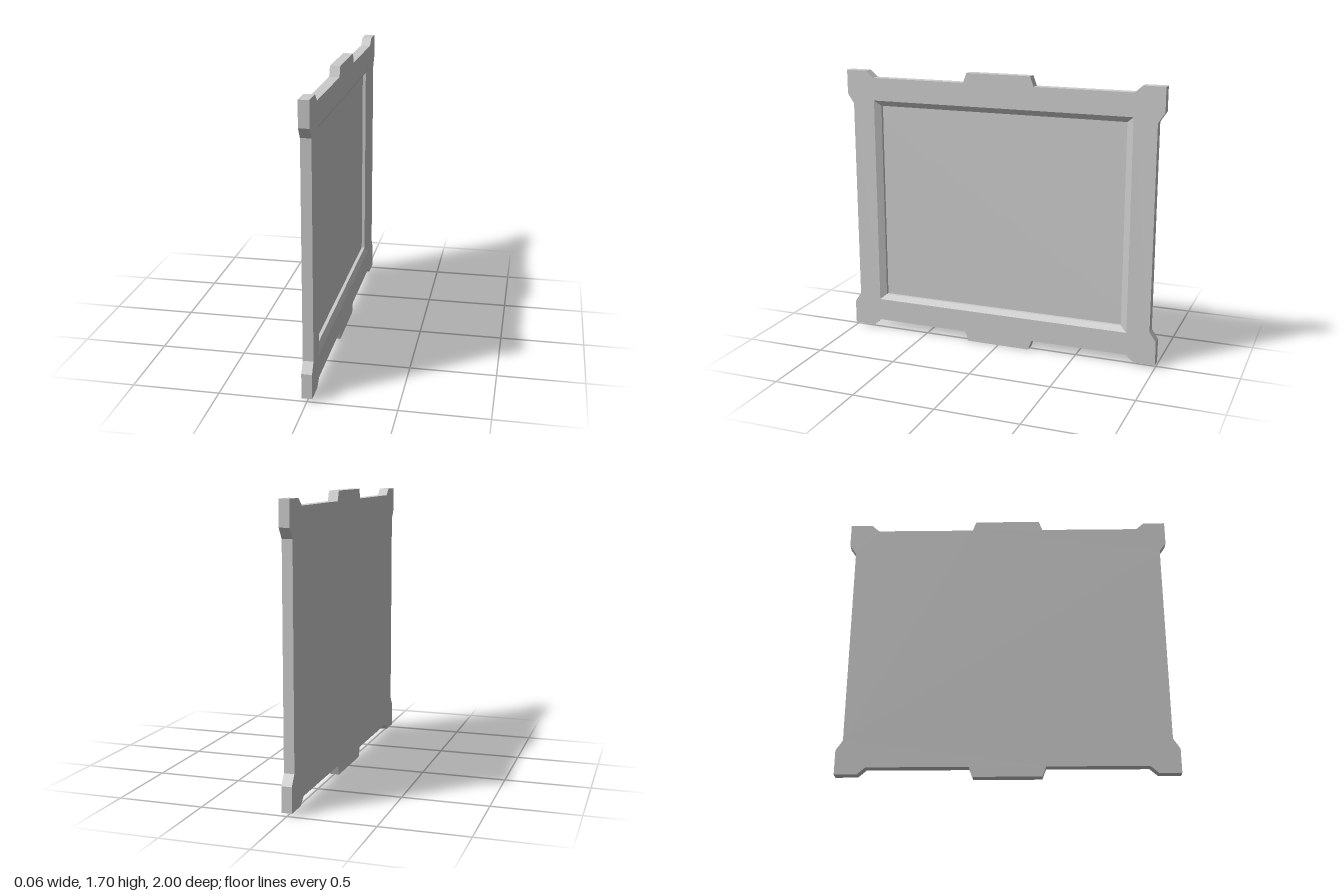
import * as THREE from 'three';

const MID = 0.85; // height of the centre line

// Outline of one quarter, from the right middle to the top middle (u across, v above centre)
const QUARTER = [
  [0.96, 0.625], [1, 0.685], [1, 0.832], [0.868, 0.832],
  [0.82, 0.79], [0.222, 0.79], [0.2, 0.85],
];

// Mirrors the quarter into the whole outline, counter-clockwise
function outlinePoints() {
  const flip = (su, sv) => QUARTER.map(([u, v]) => new THREE.Vector2(su * u, MID + sv * v));
  return [
    ...flip(1, 1), ...flip(-1, 1).reverse(),
    ...flip(-1, -1), ...flip(1, -1).reverse(),
  ];
}

function rectPoints(w, h) {
  return [[-w, -h], [w, -h], [w, h], [-w, h]].map(([u, v]) => new THREE.Vector2(u, MID + v));
}

// Extrudes a shape from depth x0 to x1 and turns it to face +x
function slab(shape, x0, x1) {
  const geo = new THREE.ExtrudeGeometry(shape, { depth: x1 - x0, bevelEnabled: false });
  return geo.translate(0, 0, x0).rotateY(Math.PI / 2);
}

// Joins rectangular rings [halfWidth, halfHeight, depth] with flat faces
function ringStrip(rings) {
  const pos = [];
  for (let r = 0; r < rings.length - 1; r++) {
    const [p, q] = [rings[r], rings[r + 1]].map(([w, h, d]) =>
      rectPoints(w, h).map((c) => [c.x, c.y, d]));
    for (let i = 0; i < 4; i++) {
      const j = (i + 1) % 4;
      pos.push(...p[i], ...p[j], ...q[j], ...p[i], ...q[j], ...q[i]);
    }
  }
  const geo = new THREE.BufferGeometry();
  geo.setAttribute('position', new THREE.Float32BufferAttribute(pos, 3));
  geo.rotateY(Math.PI / 2);
  geo.computeVertexNormals();
  return geo;
}

export function createModel() {
  const model = new THREE.Group();
  model.name = 'pictureFrame';
  const grey = new THREE.MeshStandardMaterial({ color: 0xcccccc });
  grey.name = 'plain grey';

  const add = (name, geo) => {
    const mesh = new THREE.Mesh(geo, grey);
    mesh.name = name;
    model.add(mesh);
  };

  // Solid backing, whose front is the recessed panel
  add('backPanel', slab(new THREE.Shape(outlinePoints()), -0.03, -0.01));

  // Frame with the rectangular opening
  const frame = new THREE.Shape(outlinePoints());
  frame.holes.push(new THREE.Path(rectPoints(0.82, 0.65).reverse()));
  add('frame', slab(frame, -0.01, 0.03));

  // Sloped moulding and the short step down to the panel
  add('innerMoulding', ringStrip([
    [0.82, 0.65, 0.03], [0.78, 0.617, 0.01], [0.78, 0.617, -0.01],
  ]));

  return model;
}
